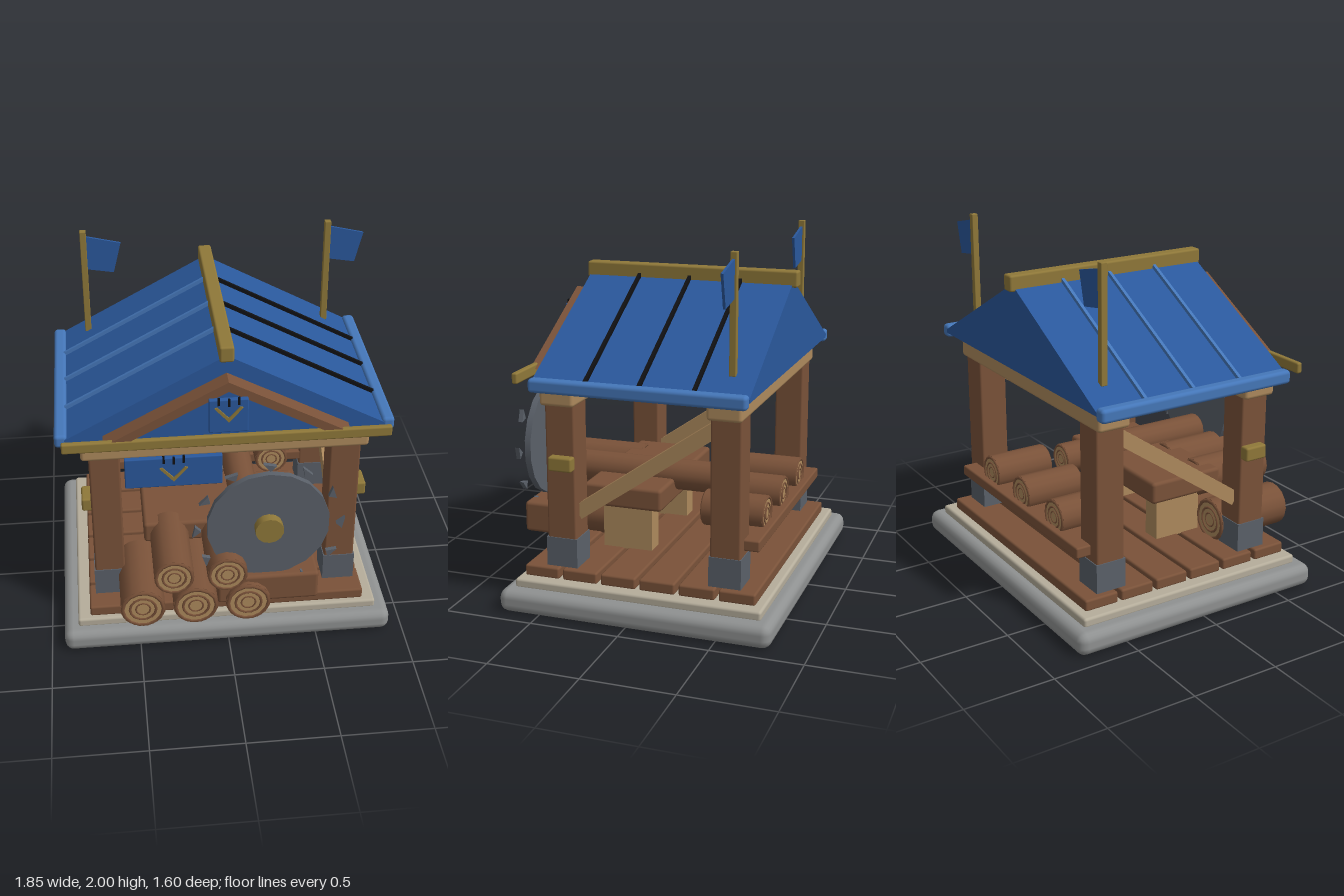
import * as THREE from 'three';
import { RoundedBoxGeometry } from 'three/addons/geometries/RoundedBoxGeometry.js';

const paint = (name, color, extra = {}) => {
  const m = new THREE.MeshStandardMaterial({ color, ...extra });
  m.name = name;
  return m;
};

export function createModel() {
  const model = new THREE.Group();
  model.name = 'sawmill';
  const gray = paint('foundation gray', 0x8f9191);
  const cream = paint('pale stone', 0xb5ad9b);
  const brown = paint('dark wood', 0x7a5239);
  const tan = paint('light wood', 0xae8a5d);
  const steel = paint('steel gray', 0x5a6069);
  const blue = paint('blue', 0x2a589c);
  const lightBlue = paint('light blue', 0x4577b9);
  const gold = paint('brass', 0x8f7839);
  const black = paint('black', 0x101012);

  const add = (name, geo, mat, x = 0, y = 0, z = 0, parent = model) => {
    const mesh = new THREE.Mesh(geo, mat);
    mesh.name = name;
    mesh.position.set(x, y, z);
    parent.add(mesh);
    return mesh;
  };
  // Box given by its limits, with optional rounded edges
  const block = (name, mat, x0, x1, y0, y1, z0, z1, r = 0.012) => {
    const s = [x1 - x0, y1 - y0, z1 - z0];
    const geo = r ? new RoundedBoxGeometry(...s, 2, r) : new THREE.BoxGeometry(...s);
    return add(name, geo, mat, (x0 + x1) / 2, (y0 + y1) / 2, (z0 + z1) / 2);
  };
  // Flat outline extruded along z, starting at z
  const plate = (name, mat, pts, z, depth, parent = model) => {
    const shape = new THREE.Shape(pts.map(p => new THREE.Vector2(...p)));
    return add(name, new THREE.ExtrudeGeometry(shape, { depth, bevelEnabled: false }), mat, 0, 0, z, parent);
  };

  // Foundation and floor
  block('foundation', gray, -0.925, 0.925, 0, 0.13, -0.8, 0.73, 0.05);
  block('foundationTop', cream, -0.845, 0.845, 0.12, 0.175, -0.73, 0.66, 0.015);
  for (let i = 0; i < 6; i++) {
    const z = 0.53 - i * 0.222;
    block('floorPlank', brown, -0.775, 0.775, 0.17, 0.235, z - 0.1, z + 0.1);
  }

  // Posts, footings, pegs and braces
  for (const s of [-1, 1]) {
    for (const z of [0.423, -0.502]) {
      const x = s * 0.65;
      block('post', brown, x - 0.084, x + 0.084, 0.23, 1.2, z - 0.084, z + 0.084);
      block('postFooting', steel, x - 0.089, x + 0.089, 0.235, 0.4, z - 0.089, z + 0.089, 0);
    }
    block('peg', gold, s * 0.755 - 0.03, s * 0.755 + 0.03, 0.79, 0.87, 0.34, 0.475);
    const brace = add('brace', new THREE.BoxGeometry(0.07, 0.08, 0.96), tan, s * 0.65, 0.81, -0.045);
    brace.rotation.x = Math.atan2(0.52, 0.75);
  }
  block('frontBeam', tan, -0.775, 0.775, 1.145, 1.28, 0.325, 0.52, 0.02);
  block('backBeam', tan, -0.775, 0.775, 1.145, 1.28, -0.597, -0.405, 0.02);

  // Roof
  plate('roof', blue, [[-0.85, 1.275], [0.85, 1.275], [0.85, 1.295], [0, 1.755], [-0.85, 1.295]], -0.655, 1.18);
  const pitch = Math.atan2(0.46, 0.85);
  for (const s of [-1, 1]) {
    block('eave', lightBlue, s * 0.87 - 0.034, s * 0.87 + 0.034, 1.245, 1.32, -0.655, 0.525, 0.02);
    for (const z of [0.225, -0.07, -0.365]) {
      const seam = add('roofSeam', new THREE.BoxGeometry(0.94, 0.03, 0.018), s > 0 ? black : lightBlue, s * 0.43, 1.528, z);
      seam.rotation.z = -s * pitch;
    }
    // Gable rafters
    plate('gableRafter', brown, [[0, 1.6], [0, 1.655], [s * 0.65, 1.31], [s * 0.55, 1.31]], 0.52, 0.105);
  }
  block('ridgeBeam', gold, -0.038, 0.038, 1.72, 1.81, -0.685, 0.54);
  block('gableBeam', gold, -0.867, 0.867, 1.275, 1.335, 0.597, 0.63, 0.01);

  // Signs with a chevron and three notches
  const sign = (name, x0, x1, y0, y1, z, tipY) => {
    const x = (x0 + x1) / 2;
    block(name, blue, x0, x1, y0, y1, z - 0.03, z, 0.006);
    plate(name + 'Chevron', gold, [[x, tipY], [x + 0.075, tipY + 0.085], [x + 0.06, tipY + 0.09],
      [x, tipY + 0.025], [x - 0.06, tipY + 0.09], [x - 0.075, tipY + 0.085]], z, 0.008);
    for (const i of [-1, 0, 1]) {
      const y = y1 - 0.008 + (i ? 0 : -0.008);
      block(name + 'Notch', black, x + i * 0.052 - 0.006, x + i * 0.052 + 0.006, y - 0.02, y + 0.025, z, z + 0.008, 0);
    }
  };
  sign('gableSign', -0.105, 0.1, 1.375, 1.57, 0.655, 1.44);
  sign('hangingSign', -0.547, -0.035, 1.065, 1.245, 0.67, 1.1);

  // Flags
  for (const x of [-0.7, 0.695]) {
    block('flagPole', gold, x - 0.018, x + 0.018, 1.37, 2, -0.543, -0.507, 0.004);
    plate('flag', blue, [[x + 0.018, 1.765], [x + 0.165, 1.74], [x + 0.21, 1.92], [x + 0.018, 1.965]], -0.532, 0.014);
  }

  // Logs along z, with growth rings on both ends
  const log = (x, y, r, z0, z1) => {
    const g = new THREE.Group();
    g.name = 'log';
    g.position.set(x, y, (z0 + z1) / 2);
    model.add(g);
    const len = z1 - z0 - 0.02;
    add('bark', new THREE.CylinderGeometry(r, r, len, 14).rotateX(Math.PI / 2), brown, 0, 0, 0, g);
    for (const side of [0, 1]) {
      const end = new THREE.Group();
      end.name = 'logEnd';
      end.rotation.y = side * Math.PI;
      g.add(end);
      add('barkRim', new THREE.TorusGeometry(r * 0.9, r * 0.09, 5, 14), brown, 0, 0, len / 2, end);
      add('cutFace', new THREE.CircleGeometry(r * 0.87, 14), tan, 0, 0, len / 2 + 0.003, end);
      add('growthRing', new THREE.TorusGeometry(r * 0.58, r * 0.06, 4, 14), brown, 0, 0, len / 2 + 0.003, end);
      add('heartRing', new THREE.TorusGeometry(r * 0.32, r * 0.04, 4, 12), brown, 0, 0, len / 2 + 0.003, end);
    }
  };
  for (const x of [-0.483, -0.192, 0.098]) log(x, 0.335, 0.124, 0.32, 0.795);
  for (const x of [-0.308, -0.018]) log(x, 0.538, 0.11, 0.32, 0.795);
  for (const x of [-0.36, 0.01, 0.37]) log(x, 0.54, 0.1, -0.635, -0.275);
  log(0.14, 0.632, 0.088, -0.3, 0.672);

  // Saw bench, guide block and back shelf
  block('benchTop', brown, -0.45, 0.45, 0.5, 0.628, -0.045, 0.415, 0.02);
  for (const x of [-0.307, 0.307]) block('benchLeg', tan, x - 0.055, x + 0.055, 0.23, 0.51, 0.04, 0.33, 0);
  block('guideBlock', brown, -0.07, 0.49, 0.313, 0.49, 0.535, 0.762, 0.02);
  block('backShelf', brown, -0.67, 0.67, 0.428, 0.49, -0.67, -0.42, 0.01);

  // Circular saw with a ring of teeth
  const saw = new THREE.Group();
  saw.name = 'circularSaw';
  saw.position.set(0.207, 0.81, 0);
  model.add(saw);
  add('blade', new THREE.CylinderGeometry(0.333, 0.333, 0.035, 18).rotateX(Math.PI / 2), steel, 0, 0, 0.71, saw);
  add('hub', new THREE.CylinderGeometry(0.077, 0.077, 0.055, 14).rotateX(Math.PI / 2), gold, 0, 0, 0.752, saw);
  for (let i = 0; i < 12; i++) {
    const tooth = plate('tooth', steel, [[0.411, 0.037], [0.364, 0], [0.396, -0.032]], 0.722, 0.025, saw);
    tooth.rotation.z = i * Math.PI / 6;
  }
  return model;
}
